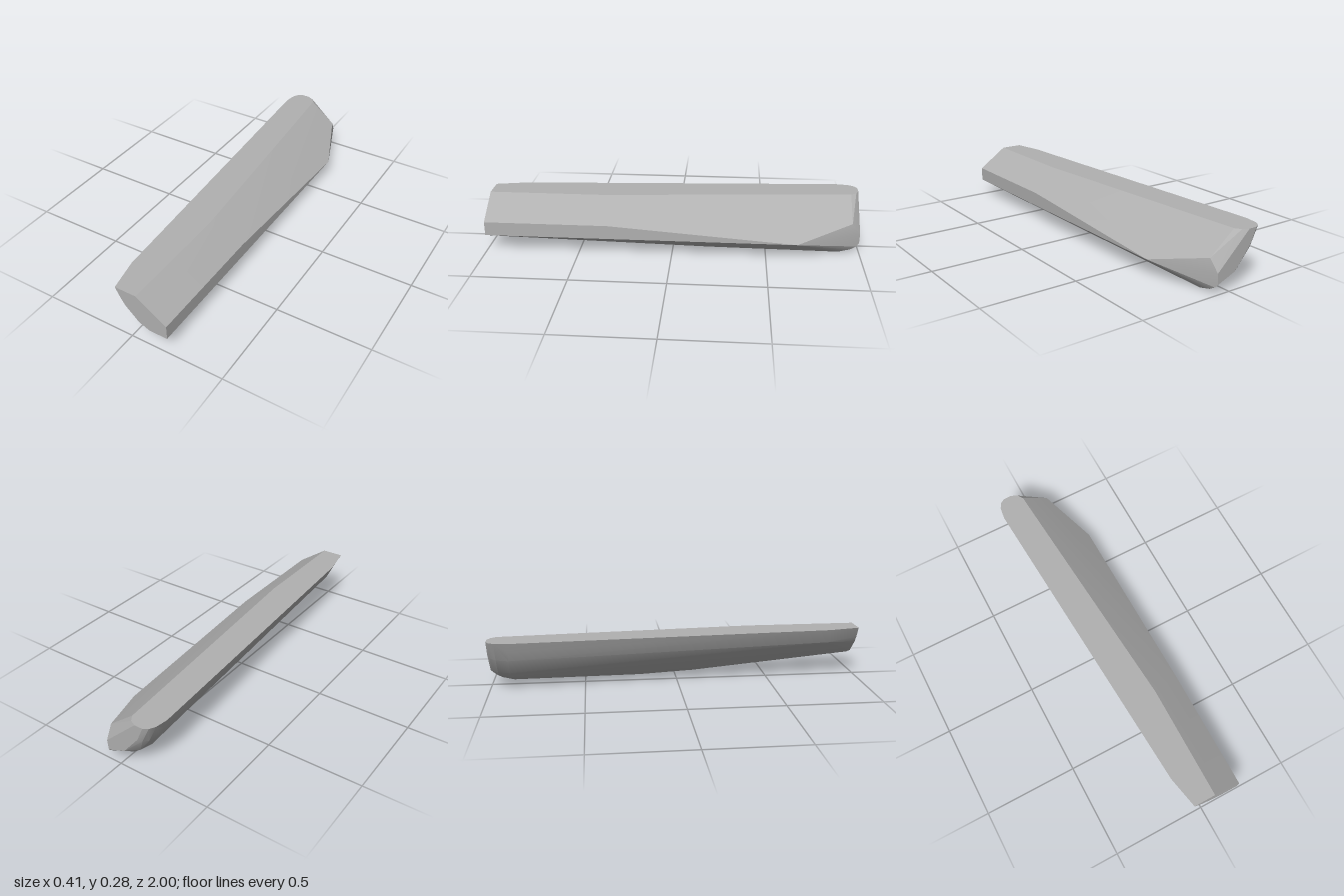
import * as THREE from 'three';
import { ConvexGeometry } from 'three/addons/geometries/ConvexGeometry.js';
import { toCreasedNormals } from 'three/addons/utils/BufferGeometryUtils.js';

const TOP = 0.279;

// Cross-sections along z: each holds the [x, y] corners of the faceted bar
const sections = [
  // square-cut front end
  { z: 1, pts: [[-0.07, TOP], [0.047, TOP], [0.207, 0.168], [0.207, 0.093], [0.11, 0.093], [0.052, 0.118], [-0.018, 0.187], [-0.04, 0.22]] },
  // front corner bevel
  { z: 0.83, pts: [[-0.105, TOP], [-0.066, 0.2]] },
  // end of the straight chamfer
  { z: 0.4, pts: [[0.047, TOP]] },
  { z: 0.34, pts: [[0.207, 0.168]] },
  // keel curve
  { z: 0.1, pts: [[0.085, 0.02]] },
  { z: -0.2, pts: [[0.08, 0.006]] },
  // lowest point of the chamfer on the side wall
  { z: -0.66, pts: [[0.207, 0.093]] },
  // widest section of the curved flank
  { z: -0.89, pts: [[-0.207, TOP], [-0.187, 0.228], [-0.163, 0.175], [-0.105, 0.092], [-0.065, 0.058], [0.078, 0]] },
  // rounded rear end
  { z: -0.955, pts: [[-0.197, TOP], [-0.15, 0.178], [-0.09, 0.095], [-0.05, 0.065], [0.077, 0.016], [-0.057, TOP], [0.084, 0.168]] },
  { z: -0.985, pts: [[-0.18, TOP], [-0.135, 0.185], [0.075, 0.033], [-0.078, TOP]] },
  { z: -1, pts: [[-0.155, TOP], [-0.11, TOP], [-0.12, 0.2], [-0.03, 0.09], [0.07, 0.05], [0.075, 0.105]] },
];

export function createModel() {
  const group = new THREE.Group();
  group.name = 'facetedBar';

  const grey = new THREE.MeshStandardMaterial({ color: 0xb0b0b0 });
  grey.name = 'grey';

  // The bar is the convex skin around all sections
  const points = sections.flatMap(({ z, pts }) => pts.map(([x, y]) => new THREE.Vector3(x, y, z)));
  const body = new THREE.Mesh(toCreasedNormals(new ConvexGeometry(points), 0.3), grey);
  body.name = 'barBody';
  group.add(body);
  return group;
}
